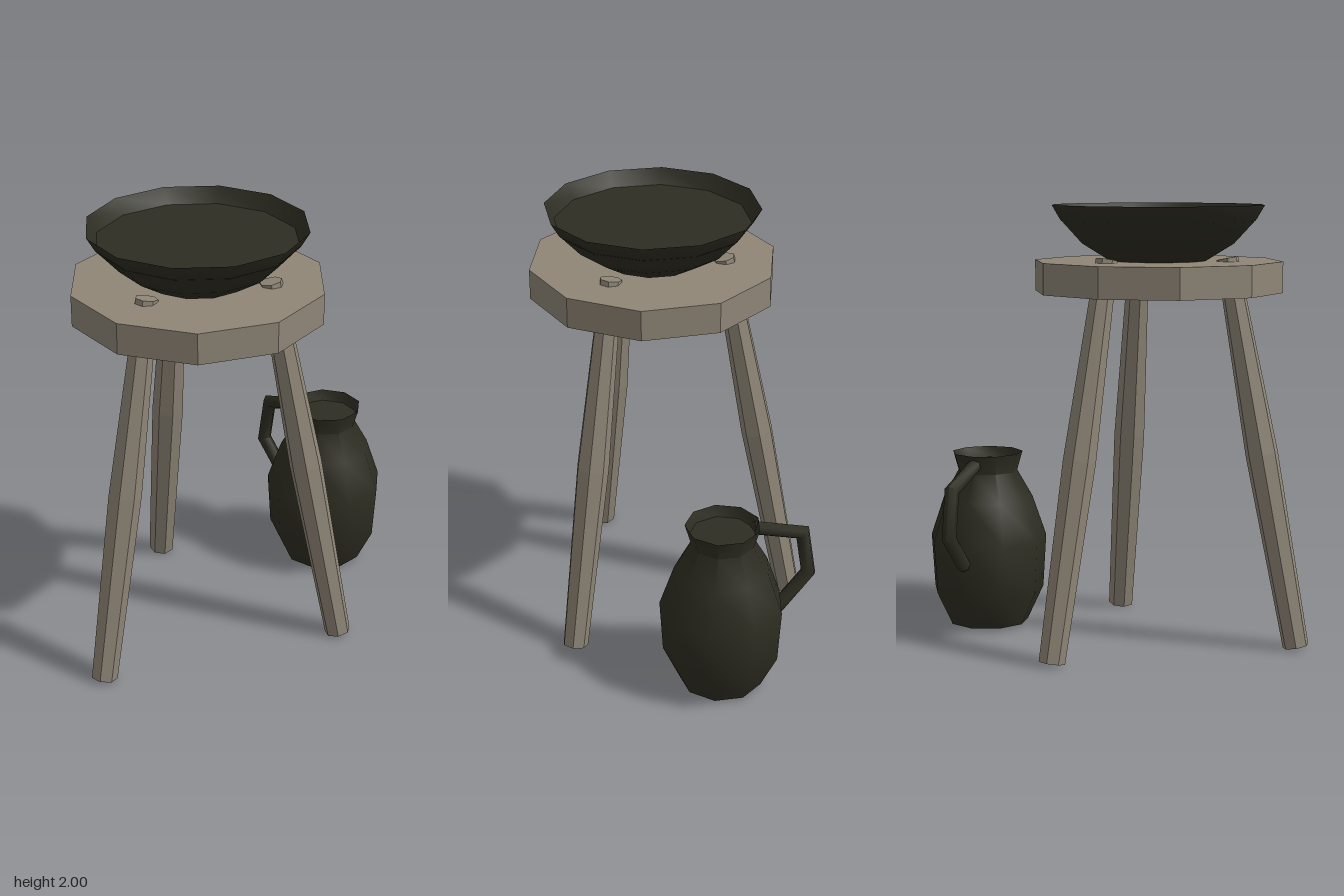
import * as THREE from 'three';
import { toCreasedNormals } from 'three/addons/utils/BufferGeometryUtils.js';

const wood = new THREE.MeshStandardMaterial({ name: 'weatheredWood', color: 0x8f8677, flatShading: true });
const clay = new THREE.MeshStandardMaterial({ name: 'darkClay', color: 0x2e2d22 });

function lathe(profile, sides, phiStart = 0) {
  return new THREE.LatheGeometry(profile.map(([r, y]) => new THREE.Vector2(r, y)), sides, phiStart);
}

function addMesh(parent, name, geometry, material, x = 0, y = 0, z = 0) {
  const mesh = new THREE.Mesh(geometry, material);
  mesh.name = name;
  mesh.position.set(x, y, z);
  parent.add(mesh);
  return mesh;
}

// Sweep a mitred round section along a path of [z, y] points
function sweep(path, radius, sides) {
  const pts = path.map(([z, y]) => new THREE.Vector2(z, y));
  const pos = [], index = [];
  pts.forEach((p, i) => {
    const dirIn = p.clone().sub(pts[Math.max(i - 1, 0)]).normalize();
    const dirOut = pts[Math.min(i + 1, pts.length - 1)].clone().sub(p).normalize();
    const t = dirIn.clone().add(dirOut).normalize();
    const stretch = 1 / Math.max(t.dot(i ? dirIn : dirOut), 0.5);
    for (let k = 0; k < sides; k++) {
      const a = (k / sides) * Math.PI * 2;
      const u = Math.cos(a) * radius * stretch;
      pos.push(Math.sin(a) * radius, p.y + t.x * u, p.x - t.y * u);
    }
  });
  for (let i = 0; i < pts.length - 1; i++) {
    for (let k = 0; k < sides; k++) {
      const a = i * sides + k, b = i * sides + (k + 1) % sides;
      index.push(a, a + sides, b, b, a + sides, b + sides);
    }
  }
  // End caps
  const last = (pts.length - 1) * sides;
  for (let k = 1; k < sides - 1; k++) {
    index.push(0, k, k + 1, last, last + k + 1, last + k);
  }
  const g = new THREE.BufferGeometry();
  g.setAttribute('position', new THREE.Float32BufferAttribute(pos, 3));
  g.setIndex(index);
  g.computeVertexNormals();
  return g;
}

export function createModel() {
  const model = new THREE.Group();
  model.name = 'stoolWithBowlAndJug';

  // Stool: ten-sided seat
  const stool = new THREE.Group();
  stool.name = 'stool';
  stool.position.set(-0.21, 0, 0.12);
  model.add(stool);
  const seat = new THREE.CylinderGeometry(0.565, 0.565, 0.14, 10);
  seat.rotateY(Math.PI / 2);
  addMesh(stool, 'seat', seat, wood, 0, 1.68, 0);

  // Three splayed legs, thicker in the middle, with tips poking through the seat
  const footR = 0.655, topR = 0.32, footY = 0.011, topY = 1.765;
  const tilt = Math.atan2(footR - topR, topY - footY);
  const length = Math.hypot(footR - topR, topY - footY);
  const legShape = lathe([[0, 0], [0.06, 0], [0.075, length * 0.5], [0.05, length], [0, length]], 7);
  for (let i = 0; i < 3; i++) {
    const pivot = new THREE.Group();
    pivot.name = 'legPivot' + (i + 1);
    pivot.rotation.y = (i * Math.PI * 2) / 3;
    stool.add(pivot);
    addMesh(pivot, 'leg', legShape, wood, 0, footY, -footR).rotation.x = tilt;
  }

  // Shallow bowl with its contents
  const bowl = lathe([[0, 1.75], [0.22, 1.75], [0.35, 1.83], [0.452, 1.94],
    [0.487, 2], [0.445, 1.93], [0, 1.93]], 12);
  addMesh(model, 'bowl', toCreasedNormals(bowl, 0.75), clay, -0.21, 0, 0.12);

  // Jug body with flared lip
  const jug = new THREE.Group();
  jug.name = 'jug';
  jug.position.set(0.555, 0, -0.25);
  model.add(jug);
  const body = lathe([[0, 0.012], [0.19, 0.012], [0.265, 0.17], [0.28, 0.42], [0.215, 0.61],
    [0.142, 0.74], [0.168, 0.83], [0.15, 0.78], [0, 0.78]], 9, THREE.MathUtils.degToRad(5));
  addMesh(jug, 'jugBody', toCreasedNormals(body, 0.8), clay);

  // Angular handle
  const handle = sweep([[0.14, 0.785], [0.385, 0.705], [0.42, 0.49], [0.27, 0.33]], 0.033, 6);
  addMesh(jug, 'jugHandle', toCreasedNormals(handle, 1.1), clay)
    .rotation.y = THREE.MathUtils.degToRad(205);

  return model;
}
